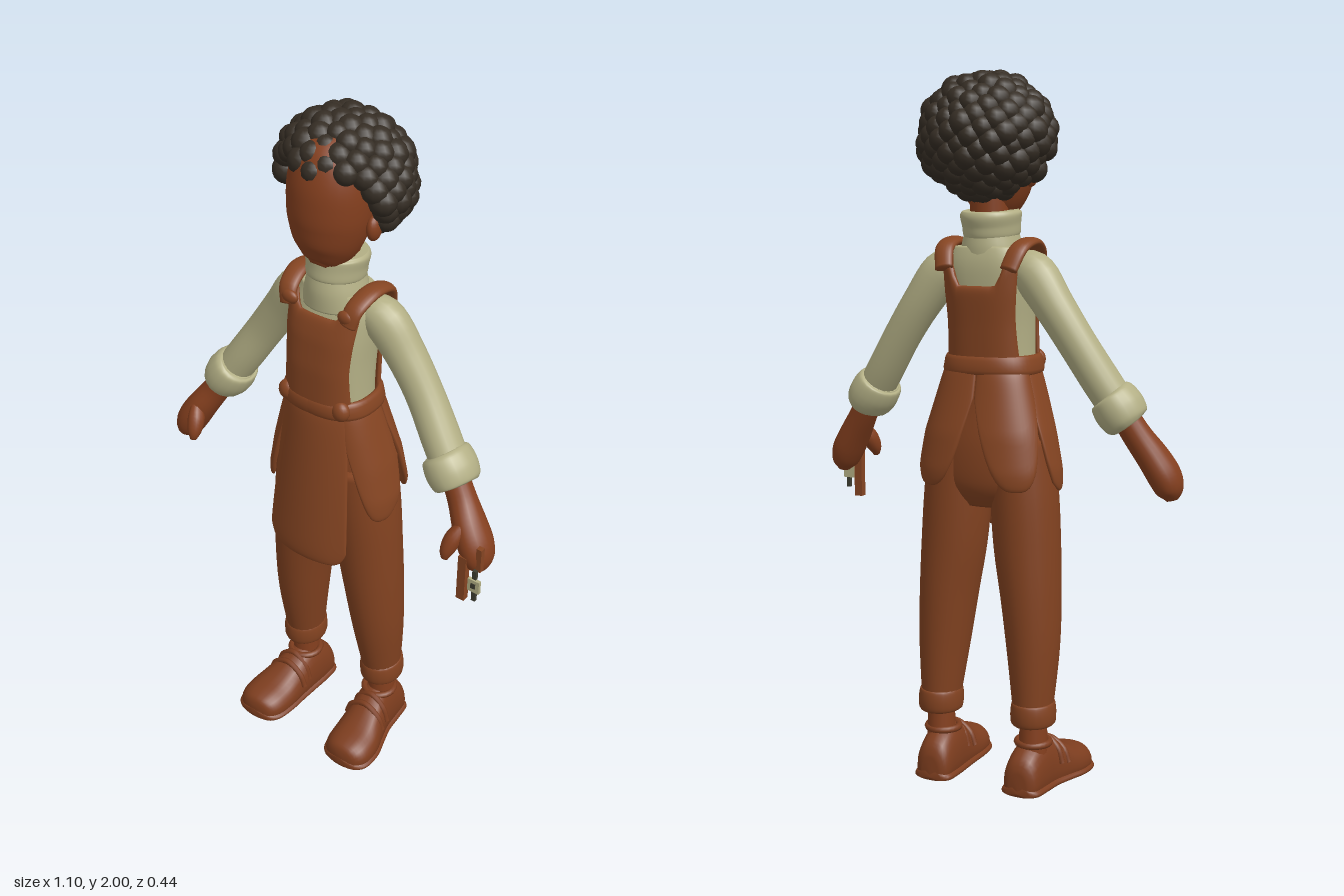
import * as THREE from 'three';
import { mergeGeometries } from 'three/addons/utils/BufferGeometryUtils.js';

const paint = (name, color) => new THREE.MeshStandardMaterial({ name, color });
const V = (x, y, z) => new THREE.Vector3(x, y, z);
const lerp = THREE.MathUtils.lerp;
const spow = (x, p) => Math.sign(x) * Math.abs(x) ** p;

// Closed skin: f(angle, v) gives a point, angle runs around, v from 0 to 1
function skin(nu, nv, f) {
  const pos = [], idx = [];
  for (let j = 0; j <= nv; j++)
    for (let i = 0; i < nu; i++) pos.push(...f((i / nu) * Math.PI * 2, j / nv).toArray());
  for (let j = 0; j < nv; j++)
    for (let i = 0; i < nu; i++) {
      const a = j * nu + i, b = j * nu + (i + 1) % nu;
      idx.push(a, b, a + nu, b, b + nu, a + nu);
    }
  // make every face look outward, whichever way the section was swept
  const p = (i) => V(pos[i * 3], pos[i * 3 + 1], pos[i * 3 + 2]);
  let volume = 0;
  for (let i = 0; i < idx.length; i += 3) volume += p(idx[i]).dot(p(idx[i + 1]).cross(p(idx[i + 2])));
  if (volume < 0) idx.reverse();
  const g = new THREE.BufferGeometry();
  g.setAttribute('position', new THREE.Float32BufferAttribute(pos, 3));
  g.setIndex(idx);
  g.computeVertexNormals();
  return g;
}

// Smooth interpolation through rows of numbers
function along(rows, v) {
  const n = rows.length - 1, k = Math.min(Math.floor(v * n), n - 1), t = v * n - k;
  const at = (i) => rows[Math.max(0, Math.min(n, i))];
  return rows[0].map((_, c) => {
    const [a, b, d, e] = [at(k - 1)[c], at(k)[c], at(k + 1)[c], at(k + 2)[c]];
    return b + 0.5 * t * (d - a + t * (2 * a - 5 * b + 4 * d - e + t * (3 * (b - d) + e - a)));
  });
}

// Oval sweep through rows of [x, y, z, radius along ref, radius across]
function sweep(rows, { nu = 20, nv = 24, ref = V(0, 0, 1), pow = 1 } = {}) {
  const spot = (v) => V(...along(rows, THREE.MathUtils.clamp(v, 0, 1)));
  return skin(nu, nv + 2, (a, w) => {
    const j = Math.round(w * (nv + 2)) - 1, v = THREE.MathUtils.clamp(j / nv, 0, 1);
    const r = along(rows, v), open = j < 0 || j > nv ? 0 : 1;
    const t = spot(v + 0.01).sub(spot(v - 0.01)).normalize();
    const n = ref.clone().addScaledVector(t, -ref.dot(t)).normalize();
    return V(r[0], r[1], r[2])
      .addScaledVector(n, open * Math.max(r[3], 0) * spow(Math.cos(a), pow))
      .addScaledVector(t.cross(n), open * Math.max(r[4], 0) * spow(Math.sin(a), pow));
  });
}

// Cloth panel with rounded edges: f(s in -1..1, v in 0..1, offset)
const slab = (thick, f) => skin(48, 26, (a, w) => {
  const v = (1 - Math.cos(w * Math.PI)) / 2;
  const edge = Math.sqrt(Math.max(0, 1 - (2 * v - 1) ** 10));
  return f(Math.cos(a), v, thick * edge * spow(Math.sin(a), 0.6));
});

// Rows of [y, half width, z centre, half depth] looked up by height
function atHeight(rows, y) {
  let k = 0;
  while (k < rows.length - 2 && y > rows[k + 1][0]) k++;
  const t = THREE.MathUtils.clamp((y - rows[k][0]) / (rows[k + 1][0] - rows[k][0]), 0, 1);
  return rows[k].map((x, c) => lerp(x, rows[k + 1][c], t));
}
const TORSO = [[1.14, 0.118, 0.02, 0.092], [1.22, 0.114, 0.02, 0.09], [1.32, 0.115, 0.015, 0.092],
  [1.41, 0.121, 0.005, 0.09], [1.48, 0.122, -0.005, 0.082], [1.53, 0.1, -0.005, 0.07]];
const SKIRT = [[0.84, 0.197, 0, 0.132], [0.92, 0.192, 0, 0.132], [1.02, 0.172, 0.003, 0.124],
  [1.12, 0.143, 0.012, 0.11], [1.21, 0.116, 0.018, 0.096]];
const wrap = (table, y, ang, off) => {
  const [, rx, cz, rz] = atHeight(table, y);
  return V((rx + off) * spow(Math.sin(ang), 0.8), y, cz + (rz + off) * spow(Math.cos(ang), 0.8));
};

export function createModel() {
  const skinTone = paint('skin', 0x843f1e), cloth = paint('apron cloth', 0x864522);
  const trouser = paint('trouser cloth', 0x824220), wool = paint('sweater wool', 0xb3af85);
  const hairTone = paint('hair', 0x352d24), leather = paint('shoe leather', 0x7d3d1e);
  const darkMetal = paint('dark metal', 0x3d3c30);
  const model = new THREE.Group();
  model.name = 'figure';
  const add = (name, geo, mat) => {
    const m = new THREE.Mesh(geo, mat);
    m.name = name;
    model.add(m);
    return m;
  };
  const ball = (name, mat, x, y, z, sx, sy, sz) => {
    const m = add(name, new THREE.SphereGeometry(1, 18, 12), mat);
    m.position.set(x, y, z);
    m.scale.set(sx, sy, sz);
  };
  const box = (name, mat, x, y, z, w, h, d) =>
    add(name, new THREE.BoxGeometry(w, h, d), mat).position.set(x, y, z);

  // Head and neck
  add('head', sweep([[0, 1.605, 0.07, 0.03, 0.03], [0, 1.62, 0.06, 0.055, 0.052], [0, 1.66, 0.045, 0.087, 0.084],
    [0, 1.72, 0.033, 0.106, 0.106], [0, 1.78, 0.028, 0.112, 0.114], [0, 1.84, 0.02, 0.112, 0.113],
    [0, 1.9, 0, 0.1, 0.1], [0, 1.94, -0.02, 0.055, 0.055]], { nu: 32, nv: 32 }), skinTone);
  add('neck', sweep([[0, 1.5, -0.005, 0.055, 0.055], [0, 1.72, -0.01, 0.055, 0.055]]), skinTone);

  // Curly hair: a core covered in round curls, left open around the face
  ball('hairCore', hairTone, 0, 1.825, -0.06, 0.145, 0.145, 0.13);
  let seed = 7;
  const rand = () => (seed = (seed * 16807) % 2147483647) / 2147483647;
  const curls = [];
  for (let i = 0, n = 185; i < n; i++) {
    const h = 1 - (2 * i + 1) / n, q = Math.sqrt(1 - h * h), a = i * 2.39996;
    const k = 0.975 + rand() * 0.06, r = 0.031 + rand() * 0.008;
    const x = -0.006 + 0.16 * k * q * Math.sin(a), y = 1.823 + 0.142 * k * h, z = -0.036 + 0.145 * k * q * Math.cos(a);
    if (y < 1.665 || (y < 1.875 && z > -0.03 + Math.max(0, y - 1.72) * 0.6)) continue;
    curls.push(new THREE.SphereGeometry(r, 12, 9).translate(x, y, z));
  }
  add('curls', mergeGeometries(curls), hairTone);

  // Sweater body and rolled collar
  add('sweaterBody', sweep(TORSO.map(([y, rx, cz, rz]) => [0, y, cz, rz, rx]), { nu: 32, pow: 0.8 }), wool);
  add('collarBase', sweep([[0, 1.48, 0.005, 0.085, 0.095], [0, 1.53, 0.004, 0.086, 0.084], [0, 1.57, 0.002, 0.08, 0.074],
    [0, 1.6, 0, 0.075, 0.07]], { nu: 28 }), wool);
  add('collarFold', sweep([[0, 1.555, 0.006, 0.07, 0.066], [0, 1.562, 0.005, 0.085, 0.077], [0, 1.59, 0.002, 0.087, 0.08],
    [0, 1.617, -0.002, 0.089, 0.084], [0, 1.628, -0.003, 0.08, 0.076]], { nu: 28 }), wool);

  // Apron bib, front and back, with scooped necklines
  for (const [name, turn, dip] of [['frontBib', 0, 1.47], ['backBib', Math.PI, 1.425]])
    add(name, slab(0.011, (s, v, off) => {
      const y = lerp(1.18, lerp(dip, 1.515, THREE.MathUtils.smoothstep(Math.abs(s), 0.35, 0.75)), v);
      const spread = 1.02 - 0.14 * Math.sin(Math.PI * THREE.MathUtils.clamp((y - 1.2) / 0.32, 0, 1));
      return wrap(TORSO, y, turn + s * spread, 0.009 + off);
    }), cloth);

  // Waist belt
  add('belt', skin(12, 48, (a, v) => wrap(SKIRT, 1.208 + 0.027 * Math.sin(a), v * Math.PI * 2, 0.008 + 0.012 * Math.cos(a))), cloth);

  // Long front panel of the apron
  add('frontPanel', slab(0.011, (s, v, off) => {
    const y = lerp(1.2, 0.71 + 0.05 * Math.abs(s) ** 9, v);
    return V(s * lerp(0.098, 0.134, v ** 0.7), y, lerp(0.122, 0.168, v) - 0.03 * s * s + off);
  }), cloth);

  // Trouser seat
  add('trouserSeat', sweep([[0, 1.2, 0.018, 0.085, 0.108], [0, 1.08, 0.01, 0.095, 0.138], [0, 0.97, 0, 0.103, 0.168],
    [0, 0.87, 0, 0.1, 0.17], [0, 0.81, 0, 0.07, 0.1]], { nu: 32 }), trouser);

  for (const side of [1, -1]) {
    const tag = side > 0 ? 'left' : 'right';
    const put = (name, rows, mat, opts) =>
      add(tag + name, sweep(rows.map(([x, ...r]) => [x * side, ...r]), opts), mat);

    ball(tag + 'Ear', skinTone, side * 0.118, 1.725, 0.005, 0.018, 0.035, 0.026);

    // Shoulder strap with button, and belt knot
    put('ShoulderStrap', [[0.098, 1.47, 0.087, 0.024, 0.013], [0.107, 1.515, 0.07, 0.028, 0.014], [0.115, 1.542, 0.01, 0.03, 0.014],
      [0.112, 1.525, -0.06, 0.028, 0.014], [0.098, 1.47, -0.093, 0.026, 0.013]], cloth, { ref: V(1, 0, 0) });
    ball(tag + 'StrapButton', cloth, side * 0.092, 1.492, 0.086, 0.026, 0.02, 0.014);
    ball(tag + 'BeltKnot', cloth, side * 0.09, 1.212, 0.105, 0.027, 0.03, 0.022);

    // Rounded skirt petals, one at the side and one behind
    for (const [name, mid, half, low, lift] of [['SidePetal', 1.3, 0.64, 0.855, 0.002], ['BackPetal', 2.5, 0.64, 0.87, 0.008]])
      add(tag + name, slab(0.009, (s, v, off) => {
        const y = lerp(1.205, lerp(low, 1.12, Math.abs(s) ** 3.2), v);
        return wrap(SKIRT, y, side * (mid + s * half), lift + off);
      }), cloth);

    // Sleeve and turned cuff
    put('Sleeve', [[0.09, 1.475, -0.012, 0.045, 0.045], [0.14, 1.455, -0.018, 0.056, 0.062], [0.205, 1.37, -0.025, 0.054, 0.056],
      [0.27, 1.275, -0.022, 0.052, 0.053], [0.335, 1.175, -0.008, 0.056, 0.053], [0.385, 1.1, 0.005, 0.055, 0.052]], wool);
    put('SleeveCuff', [[0.356, 1.14, 0.002, 0.058, 0.052], [0.362, 1.132, 0.003, 0.073, 0.064], [0.384, 1.1, 0.006, 0.078, 0.07],
      [0.406, 1.07, 0.008, 0.072, 0.062], [0.411, 1.063, 0.009, 0.055, 0.046]], wool);

    // Mitten hand and thumb
    put('Hand', [[0.39, 1.095, 0.008, 0.037, 0.038], [0.43, 1.03, 0.02, 0.041, 0.04], [0.47, 0.97, 0.038, 0.053, 0.044],
      [0.5, 0.92, 0.048, 0.056, 0.045], [0.515, 0.88, 0.052, 0.046, 0.036], [0.521, 0.855, 0.052, 0.02, 0.015]], skinTone);
    put('Thumb', [[0.47, 0.99, 0.065, 0.015, 0.015], [0.455, 0.955, 0.088, 0.026, 0.024], [0.447, 0.92, 0.108, 0.022, 0.02],
      [0.446, 0.895, 0.117, 0.01, 0.009]], skinTone, { nu: 14, nv: 12 });

    // Trouser leg, turn-up and ankle
    put('TrouserLeg', [[0.092, 1, 0, 0.1, 0.088], [0.104, 0.85, 0, 0.102, 0.095], [0.115, 0.7, -0.003, 0.099, 0.094],
      [0.13, 0.55, -0.008, 0.094, 0.084], [0.141, 0.4, -0.016, 0.083, 0.073], [0.147, 0.23, -0.03, 0.064, 0.055]], trouser, { nu: 24 });
    put('TrouserCuff', [[0.147, 0.26, -0.028, 0.06, 0.05], [0.147, 0.253, -0.028, 0.07, 0.06], [0.148, 0.222, -0.029, 0.073, 0.064],
      [0.148, 0.195, -0.029, 0.068, 0.06], [0.148, 0.19, -0.029, 0.05, 0.042]], trouser);
    put('Ankle', [[0.148, 0.22, -0.028, 0.04, 0.038], [0.148, 0.09, -0.03, 0.045, 0.042]], skinTone);

    // Shoe: rows of [x, z, half width, height], flat underneath
    const last = [[0.14, -0.118, 0.022, 0.06], [0.14, -0.1, 0.05, 0.105], [0.142, -0.045, 0.057, 0.142], [0.146, 0.01, 0.06, 0.148],
      [0.155, 0.065, 0.068, 0.118], [0.164, 0.12, 0.077, 0.09], [0.168, 0.175, 0.074, 0.077], [0.168, 0.207, 0.052, 0.062],
      [0.168, 0.218, 0.01, 0.03]];
    const foot = (height, grow) => skin(24, 36, (a, v) => {
      const [x, z, w, h] = along(last, v), top = Math.min(h, height), end = v <= 0 || v >= 1 ? 0.02 : 1;
      const c = Math.cos(a), s = Math.sin(a);
      return V(side * (x + end * (w + grow) * spow(c, 0.8)), top * (0.3 + end * (s > 0 ? 0.7 * s : 0.3 * spow(s, 0.4))), z * (1 + grow));
    });
    add(tag + 'Shoe', foot(1, 0), leather);
    add(tag + 'Sole', foot(0.028, 0.007), leather);

    // Shoe straps over the instep and the ankle rim
    for (const [z, w, h] of [[0.03, 0.06, 0.138], [0.062, 0.066, 0.122]])
      add(tag + 'ShoeStrap', new THREE.TubeGeometry(new THREE.CatmullRomCurve3([[-1, 0.45], [-0.75, 0.78], [0, 1.01], [0.75, 0.78], [1, 0.45]]
        .map(([x, y]) => V(side * 0.152 + x * w, y * h, z))), 20, 0.009, 8), leather);
    const rim = add(tag + 'ShoeRim', new THREE.TorusGeometry(0.046, 0.01, 8, 24), leather);
    rim.position.set(side * 0.145, 0.135, -0.022);
    rim.rotation.x = Math.PI / 2;
  }

  // Small tool and tag held in the left hand
  box('toolHandle', cloth, 0.493, 0.84, 0.095, 0.025, 0.145, 0.02);
  box('toolTip', cloth, 0.536, 0.915, 0.085, 0.016, 0.075, 0.016);
  box('tagPlate', wool, 0.535, 0.838, 0.105, 0.036, 0.04, 0.01);
  box('tagCentre', darkMetal, 0.535, 0.84, 0.1105, 0.014, 0.016, 0.004);
  box('tagPin', darkMetal, 0.537, 0.805, 0.105, 0.012, 0.032, 0.01);
  box('tagHook', darkMetal, 0.533, 0.87, 0.1, 0.012, 0.03, 0.01);
  return model;
}
